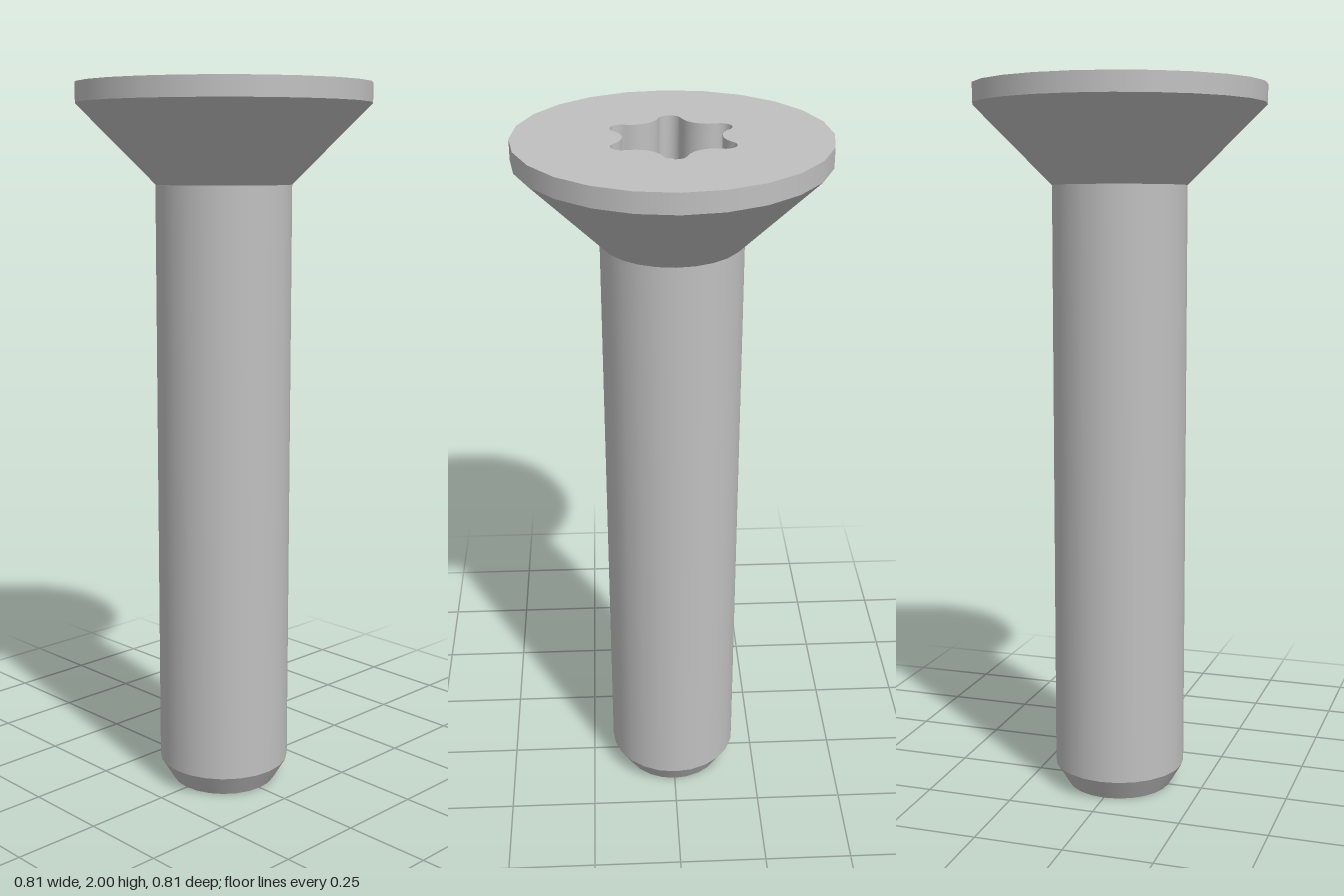
import * as THREE from 'three';

const SIDES = 24, TOP = 2;
const HEAD_R = 0.405, SHAFT_R = 0.188, TIP_R = 0.15;
const TIP_Y = 0.063, NECK_Y = 1.73, RIM_Y = 1.947;

// Six-lobed socket outline: convex lobe arcs tangent to concave valley arcs
function socketOutline() {
  const lobeR = 0.03, lobeD = 0.145, valleyR = 0.0714, valleyD = 0.1964;
  const a30 = Math.PI / 6;
  const a = Math.atan2(valleyD * Math.sin(a30), valleyD * Math.cos(a30) - lobeD);
  const half = a - a30; // half sweep of a valley arc
  const pts = [];
  const arc = (dist, dir, r, from, to, n) => {
    for (let i = 0; i < n; i++) {
      const t = from + (to - from) * i / n;
      pts.push(new THREE.Vector2(
        dist * Math.cos(dir) + r * Math.cos(t),
        dist * Math.sin(dir) + r * Math.sin(t)));
    }
  };
  for (let k = 0; k < 6; k++) {
    const d = k * Math.PI / 3, v = d + a30;
    arc(lobeD, d, lobeR, d - a, d + a, 12);
    arc(valleyD, v, valleyR, v + Math.PI + half, v + Math.PI - half, 10);
  }
  return pts;
}

// Socket walls run down to a shallow conical floor
const SLOPE = 0.55, APEX_Y = 1.79;
const floorY = p => APEX_Y + SLOPE * p.length();

function indexed(positions, indices) {
  const g = new THREE.BufferGeometry();
  g.setAttribute('position', new THREE.Float32BufferAttribute(positions, 3));
  g.setIndex(indices);
  g.computeVertexNormals();
  return g;
}

function socketWalls(outline) {
  const pos = [], idx = [], n = outline.length;
  outline.forEach((p, i) => {
    pos.push(p.x, TOP, -p.y, p.x, floorY(p), -p.y);
    const t = 2 * i, u = 2 * ((i + 1) % n);
    idx.push(u + 1, t + 1, t, u + 1, t, u);
  });
  return indexed(pos, idx);
}

function socketFloor(outline) {
  const pos = [0, APEX_Y, 0], idx = [], n = outline.length;
  outline.forEach((p, i) => {
    pos.push(p.x, floorY(p), -p.y);
    idx.push(0, i + 1, (i + 1) % n + 1);
  });
  return indexed(pos, idx);
}

export function createModel() {
  const group = new THREE.Group();
  group.name = 'countersunkScrew';
  const steel = new THREE.MeshStandardMaterial({ color: 0xc0c0c0 });
  steel.name = 'steel';

  const add = (name, geometry) => {
    const mesh = new THREE.Mesh(geometry, steel);
    mesh.name = name;
    group.add(mesh);
    return mesh;
  };
  const band = (name, r0, y0, r1, y1) => {
    const g = new THREE.CylinderGeometry(r1, r0, y1 - y0, SIDES, 1, true);
    add(name, g).position.y = (y0 + y1) / 2;
  };

  // Turned body, one band per crisp edge
  add('tipEnd', new THREE.CircleGeometry(TIP_R, SIDES).rotateX(Math.PI / 2));
  band('tipChamfer', TIP_R, 0, SHAFT_R, TIP_Y);
  band('shaft', SHAFT_R, TIP_Y, SHAFT_R, NECK_Y);
  band('headCone', SHAFT_R, NECK_Y, HEAD_R, RIM_Y);
  band('headRim', HEAD_R, RIM_Y, HEAD_R, TOP);

  // Flat head face with the socket opening
  const outline = socketOutline();
  const face = new THREE.Shape(Array.from({ length: SIDES }, (_, i) => {
    const t = i / SIDES * Math.PI * 2;
    return new THREE.Vector2(HEAD_R * Math.cos(t), HEAD_R * Math.sin(t));
  }));
  face.holes.push(new THREE.Path(outline));
  add('headFace', new THREE.ShapeGeometry(face).rotateX(-Math.PI / 2)).position.y = TOP;

  // Driver socket
  add('socketWalls', socketWalls(outline));
  add('socketFloor', socketFloor(outline));
  return group;
}
